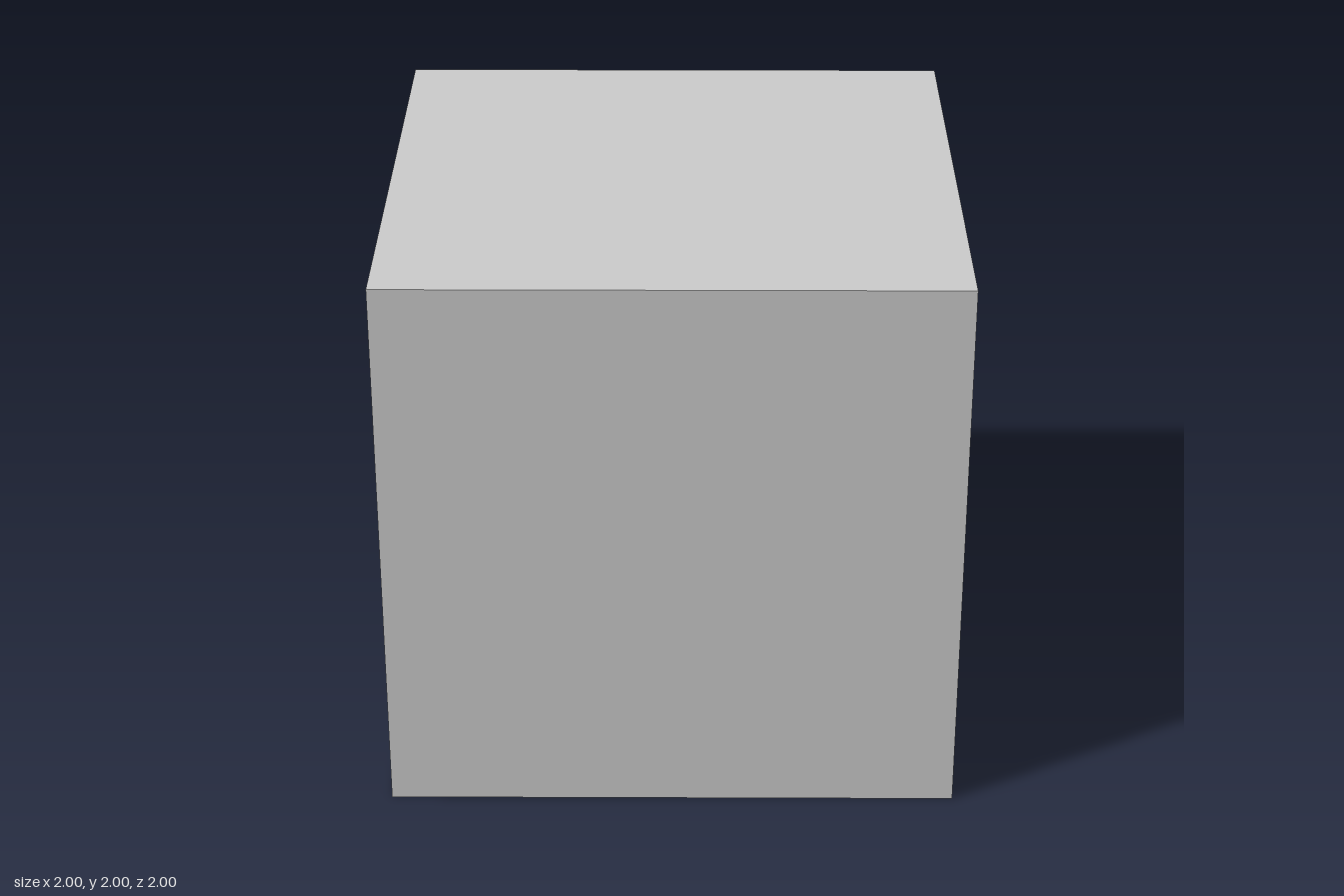
import * as THREE from 'three';

const SIZE = 2, HALF = 1;
const WALL = 0.065;                          // wall thickness
const DOOR_HALF = 0.28, DOOR_TOP = 1.385;
const SKIRT_H = 0.067, SKIRT_D = 0.006;

export function createModel() {
  const group = new THREE.Group();
  const solid = new THREE.MeshStandardMaterial({ color: 0xcccccc });
  const sheet = new THREE.MeshStandardMaterial({ color: 0xcccccc, side: THREE.DoubleSide });

  function add(name, geometry, x, y, z, material = solid) {
    const mesh = new THREE.Mesh(geometry, material);
    mesh.name = name;
    mesh.position.set(x, y, z);
    group.add(mesh);
    return mesh;
  }

  // Floor and ceiling: thin sheets spanning the whole room
  for (const [name, y] of [['floor', 0], ['ceiling', SIZE]]) {
    add(name, new THREE.PlaneGeometry(SIZE, SIZE), 0, y, 0, sheet).rotation.x = -Math.PI / 2;
  }

  // Solid front wall
  add('frontWall', new THREE.BoxGeometry(SIZE, SIZE, WALL), 0, HALF, HALF - WALL / 2);

  // Back wall with a doorway notched up from the floor
  const outline = new THREE.Shape([
    [-HALF, 0], [-DOOR_HALF, 0], [-DOOR_HALF, DOOR_TOP], [DOOR_HALF, DOOR_TOP],
    [DOOR_HALF, 0], [HALF, 0], [HALF, SIZE], [-HALF, SIZE],
  ].map(([x, y]) => new THREE.Vector2(x, y)));
  add('backWall', new THREE.ExtrudeGeometry(outline, { depth: WALL, bevelEnabled: false }), 0, 0, -HALF);

  // Skirting boards along the inner faces, interrupted at the doorway
  const skirtZ = HALF - WALL - SKIRT_D / 2;
  add('frontSkirting', new THREE.BoxGeometry(SIZE, SKIRT_H, SKIRT_D), 0, SKIRT_H / 2, skirtZ);
  const sideLength = HALF - DOOR_HALF;
  for (const [name, side] of [['backSkirtingLeft', 1], ['backSkirtingRight', -1]]) {
    add(name, new THREE.BoxGeometry(sideLength, SKIRT_H, SKIRT_D),
      side * (DOOR_HALF + sideLength / 2), SKIRT_H / 2, -skirtZ);
  }

  return group;
}
